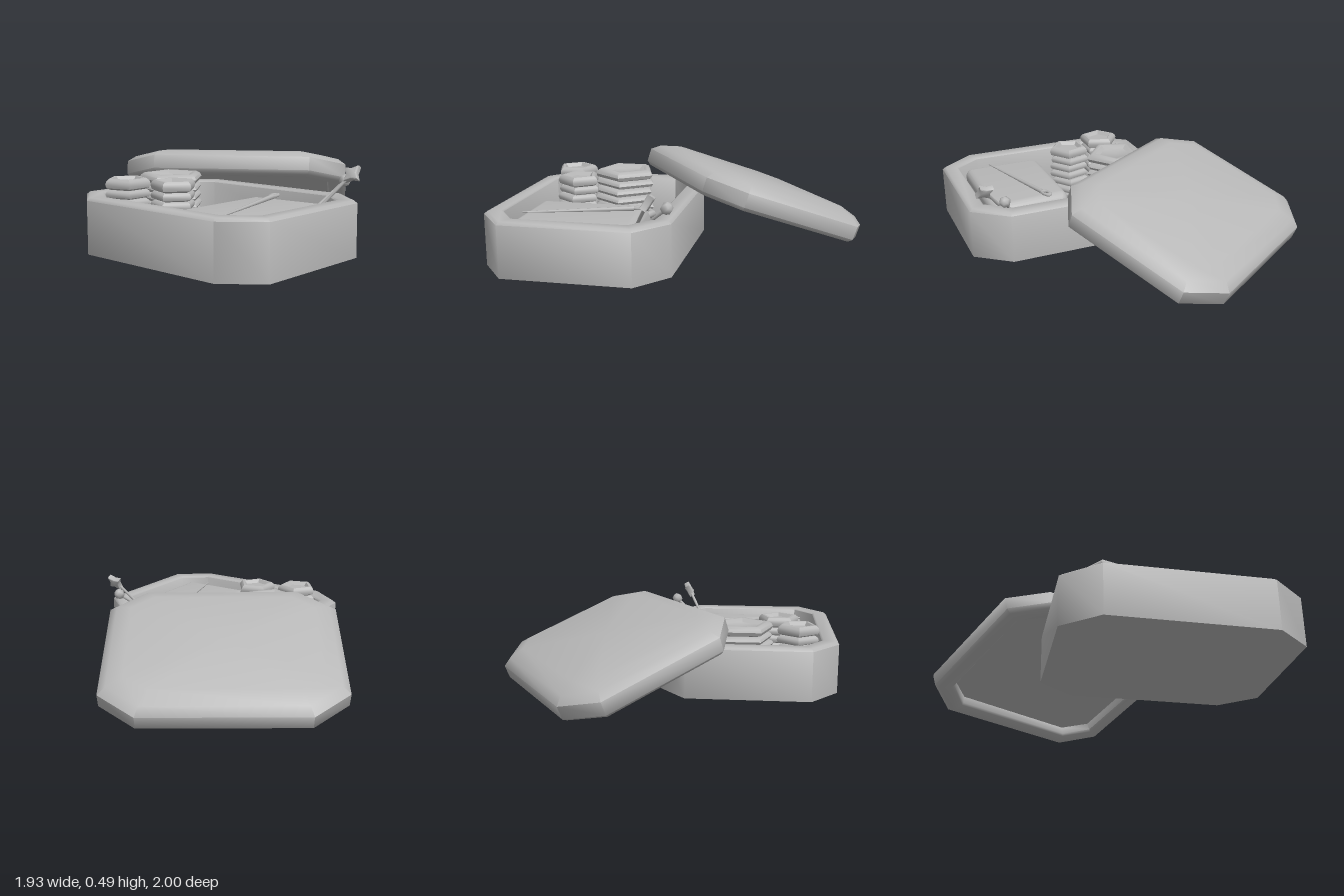
import * as THREE from 'three';
import { toCreasedNormals } from 'three/addons/utils/BufferGeometryUtils.js';
import { RoundedBoxGeometry } from 'three/addons/geometries/RoundedBoxGeometry.js';

const HALF_W = 0.656, HALF_D = 0.52, CUT_X = 0.2, CUT_Z = 0.16;

// Chamfered rectangle, offset inwards
function octagon(inset) {
  const w = HALF_W - inset, d = HALF_D - inset;
  const cx = CUT_X - inset * 0.55, cz = CUT_Z - inset * 0.5;
  return [[w, -d + cz], [w, d - cz], [w - cx, d], [-w + cx, d],
    [-w, d - cz], [-w, -d + cz], [-w + cx, -d], [w - cx, -d]];
}

// Closed shell from [inset, height] steps, capped at both ends
function shell(profile) {
  const pos = [0, profile[0][1], 0], idx = [];
  for (const [inset, y] of profile) {
    for (const [x, z] of octagon(inset)) pos.push(x, y, z);
  }
  const n = profile.length, last = 1 + n * 8;
  pos.push(0, profile[n - 1][1], 0);
  for (let j = 0; j < 8; j++) {
    const k = (j + 1) % 8;
    idx.push(0, 1 + j, 1 + k);
    for (let i = 0; i < n - 1; i++) {
      const a = 1 + i * 8, b = a + 8;
      idx.push(a + j, b + j, b + k, a + j, b + k, a + k);
    }
    idx.push(last - 8 + j, last, last - 8 + k);
  }
  const g = new THREE.BufferGeometry();
  g.setAttribute('position', new THREE.Float32BufferAttribute(pos, 3));
  g.setIndex(idx);
  return toCreasedNormals(g, 0.9);
}

export function createModel() {
  const model = new THREE.Group();
  model.name = 'sewingBox';
  const grey = new THREE.MeshStandardMaterial({ color: 0xb8b8b8 });
  grey.name = 'grey';

  function add(name, geometry, x = 0, y = 0, z = 0, parent = model) {
    const m = new THREE.Mesh(geometry, grey);
    m.name = name;
    m.position.set(x, y, z);
    parent.add(m);
    return m;
  }

  // Open box
  add('box', shell([[0, 0], [0, 0.29], [0.018, 0.305], [0.085, 0.305],
    [0.095, 0.297], [0.1, 0.045]]), 0.306, 0, 0.48);

  // Shallow hollow lid leaning on the back corner of the box
  const lid = add('lid', shell([[0.1, 0.055], [0.09, 0.012], [0.078, 0], [0.01, 0], [-0.013, 0.02],
    [-0.015, 0.1], [0.03, 0.138], [0.12, 0.17]]), -0.2, 0.192, -0.3);
  lid.rotation.set(-0.358, 0.583, 0, 'YXZ');

  // Stacks of dished five-sided buttons, a thicker one on top
  const THICK = 0.06, LAYERS = 6, FLOOR = 0.045, TOP = 0.335;
  const PITCH = (TOP - FLOOR) / LAYERS;
  const dish = [[0, 0], [0.75, 0], [0.94, 0.01], [1, 0.03], [0.95, 0.048],
    [0.83, 0.06], [0.7, 0.06], [0.56, 0.04], [0, 0.04]];
  const stacks = [['large', -0.08, 0.44, 0.19, Math.PI / 2],
    ['front', -0.095, 0.765, 0.128, -Math.PI / 2], ['middle', 0.16, 0.66, 0.128, Math.PI / 2]];
  for (const [name, x, z, r, turn] of stacks) {
    const points = dish.map(([q, y]) => new THREE.Vector2(q * r, y));
    const geometry = toCreasedNormals(new THREE.LatheGeometry(points, 5), 0.75);
    const stack = new THREE.Group();
    stack.name = name + 'ButtonStack';
    model.add(stack);
    for (let i = 0; i <= LAYERS; i++) {
      const slip = i < LAYERS ? 0.006 : 0;
      const b = add('pentagonButton', geometry, x + slip * Math.sin(i * 2.3),
        FLOOR + i * PITCH, z + slip * Math.cos(i * 1.7), stack);
      b.rotation.y = turn + slip * 8 * Math.sin(i * 3.1);
      b.scale.y = i < LAYERS ? PITCH / THICK : 1;
    }
  }

  // Loose hexagonal buttons: raised rim around a plate with two holes
  const polygon = (Type, r, x = 0, y = 0) => {
    const s = new Type();
    s.setFromPoints(Array.from({ length: 6 }, (_, i) => {
      const a = (i / 6) * Math.PI * 2 + Math.PI / 2;
      return new THREE.Vector2(x + r * Math.cos(a), y + r * Math.sin(a));
    }));
    return s;
  };
  const hex = polygon(THREE.Shape, 0.095);
  hex.holes.push(polygon(THREE.Path, 0.022, -0.034, 0.018),
    polygon(THREE.Path, 0.022, 0.034, -0.018));
  const plate = new THREE.ExtrudeGeometry(hex, { depth: 0.024, bevelEnabled: false });
  plate.translate(0, 0, -0.012).rotateX(-Math.PI / 2);
  const rim = new THREE.TorusGeometry(0.098, 0.023, 8, 6);
  rim.rotateZ(Math.PI / 2).rotateX(-Math.PI / 2);
  const buttons = [[0.2, 0.07, 0.27, 0, 0.3], [0.245, 0.115, 0.208, 0.05, 0.5],
    [0.185, 0.165, 0.305, 0.15, 0]];
  for (const [x, y, z, tilt, turn] of buttons) {
    const button = new THREE.Group();
    button.name = 'hexagonButton';
    button.position.set(x, y, z);
    button.rotation.set(tilt, turn, 0, 'YXZ');
    add('buttonPlate', plate, 0, 0, 0, button);
    add('buttonRim', rim, 0, 0, 0, button);
    model.add(button);
  }

  // Soft cushion, its top back edge drawn forward and skewed
  const HEIGHT = 0.23, DEPTH = 0.71;
  const cushion = new RoundedBoxGeometry(0.49, HEIGHT, DEPTH, 4, 0.045);
  const p = cushion.attributes.position;
  for (let i = 0; i < p.count; i++) {
    const up = p.getY(i) / HEIGHT + 0.5, back = 0.5 - p.getZ(i) / DEPTH;
    const side = p.getX(i) / 0.49;
    p.setZ(i, p.getZ(i) + up * back * (0.055 - 0.05 * side));
  }
  cushion.computeVertexNormals();
  add('cushion', toCreasedNormals(cushion, 0.9), 0.577, 0.16, 0.476);

  // A rod between two points
  const UP = new THREE.Vector3(0, 1, 0);
  function rod(name, from, to, r0, r1) {
    const a = new THREE.Vector3(...from), b = new THREE.Vector3(...to);
    const dir = b.clone().sub(a);
    const mid = a.clone().add(b).multiplyScalar(0.5);
    const m = add(name, new THREE.CylinderGeometry(r1, r0, dir.length(), 8), mid.x, mid.y, mid.z);
    m.quaternion.setFromUnitVectors(UP, dir.normalize());
    return dir;
  }

  // Needle with an eye, lying on the cushion
  rod('needle', [0.49, 0.29, 0.235], [0.66, 0.282, 0.82], 0.014, 0.004);
  const eye = add('needleEye', new THREE.TorusGeometry(0.018, 0.009, 6, 14), 0.475, 0.291, 0.2);
  eye.rotation.set(-Math.PI / 2, 0, 0.28);
  eye.scale.set(1, 2, 1);

  // Pin with a faceted ball head
  const ballDir = rod('ballPin', [0.69, 0.2, 0.19], [0.785, 0.372, -0.015], 0.009, 0.009);
  const ball = add('ballPinHead', new THREE.SphereGeometry(0.035, 6, 4), 0.788, 0.38, -0.023);
  ball.quaternion.setFromUnitVectors(UP, ballDir);

  // Pin with a thick four-pointed star head
  const starDir = rod('starPin', [0.7, 0.18, 0.2], [0.865, 0.408, 0.067], 0.009, 0.009);
  const star = new THREE.Shape();
  star.setFromPoints(Array.from({ length: 8 }, (_, i) => {
    const a = (i / 8) * Math.PI * 2, r = i % 2 ? 0.023 : 0.048;
    return new THREE.Vector2(r * Math.cos(a), r * Math.sin(a));
  }));
  const starGeometry = new THREE.ExtrudeGeometry(star, { depth: 0.026, bevelEnabled: true,
    bevelSize: 0.007, bevelThickness: 0.006, bevelSegments: 2 });
  starGeometry.translate(0, 0, -0.013);
  const head = add('starPinHead', toCreasedNormals(starGeometry, 0.9), 0.883, 0.428, 0.053);
  const normal = new THREE.Vector3(0, 0.5, 0.87);
  normal.addScaledVector(starDir, -starDir.dot(normal)).normalize();
  const across = new THREE.Vector3().crossVectors(starDir, normal);
  head.quaternion.setFromRotationMatrix(new THREE.Matrix4().makeBasis(across, starDir, normal));

  return model;
}
